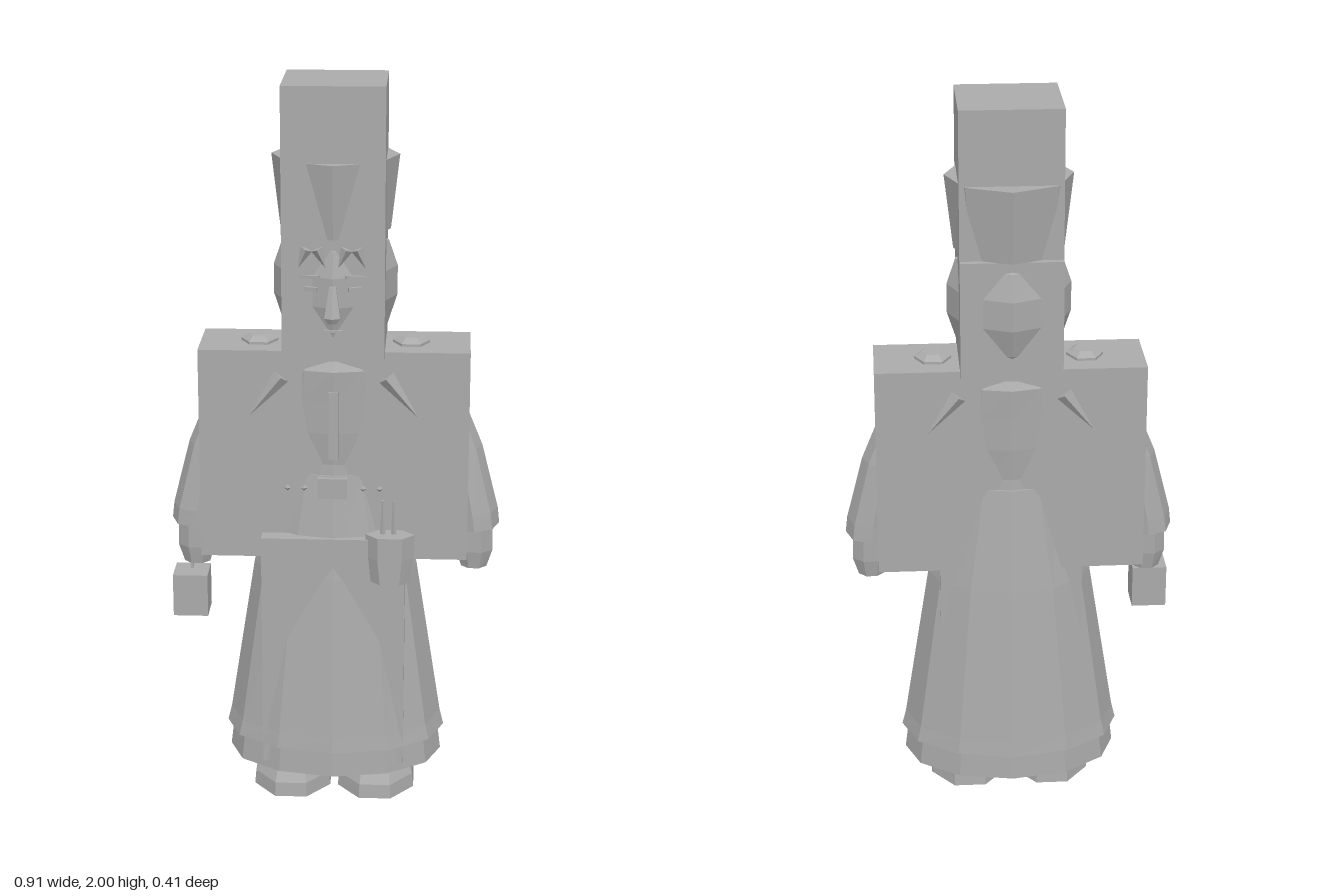
import * as THREE from 'three';

const grey = new THREE.MeshStandardMaterial({ color: 0xaaaaaa, flatShading: true, side: THREE.DoubleSide });
grey.name = 'plain grey';

export function createModel() {
  const model = new THREE.Group();
  model.name = 'robedFigure';

  function add(name, geometry, x = 0, y = 0, z = 0, parent = model) {
    const mesh = new THREE.Mesh(geometry, grey);
    mesh.name = name;
    mesh.position.set(x, y, z);
    parent.add(mesh);
    return mesh;
  }
  // box from its minimum and maximum corners
  function block(name, [x0, y0, z0], [x1, y1, z1], parent = model) {
    return add(name, new THREE.BoxGeometry(x1 - x0, y1 - y0, z1 - z0),
      (x0 + x1) / 2, (y0 + y1) / 2, (z0 + z1) / 2, parent);
  }
  // faceted solid from elliptical rings [y, halfX, halfZ, centreX, centreZ], bottom to top
  function rings(name, list, sides, parent = model, turn = 0) {
    const pos = [], index = [];
    const all = [[list[0][0], 0, 0, list[0][3], list[0][4]], ...list];
    const last = list[list.length - 1];
    all.push([last[0], 0, 0, last[3], last[4]]);
    all.forEach(([y, a, b, cx = 0, cz = 0], r) => {
      for (let i = 0; i < sides; i++) {
        const t = ((i + turn) / sides) * Math.PI * 2;
        pos.push(cx + a * Math.sin(t), y, cz + b * Math.cos(t));
        if (r === 0) continue;
        const j = (i + 1) % sides, p = (r - 1) * sides, q = r * sides;
        index.push(p + i, p + j, q + j, p + i, q + j, q + i);
      }
    });
    const g = new THREE.BufferGeometry();
    g.setAttribute('position', new THREE.Float32BufferAttribute(pos, 3));
    g.setIndex(index);
    g.computeVertexNormals();
    return add(name, g, 0, 0, 0, parent);
  }

  // tall square hat with a flared eight-sided band breaking through it
  block('hat', [-0.136, 1.58, -0.12], [0.136, 2, 0.136]);
  rings('hatBand', [[1.6, 0.147, 0.147, 0, -0.005], [1.8, 0.17, 0.17, 0, -0.005]], 8);

  // square head with the rounded head showing on each side
  block('headBlock', [-0.136, 1.27, -0.137], [0.136, 1.6, 0.136]);
  rings('head', [
    [1.28, 0.08, 0.08, 0, -0.003], [1.34, 0.14, 0.14, 0, -0.003], [1.42, 0.166, 0.163, 0, -0.005],
    [1.5, 0.166, 0.163, 0, -0.005], [1.57, 0.142, 0.142, 0, -0.003], [1.6, 0.08, 0.08, 0, 0],
  ], 8);
  rings('nose', [[1.385, 0.014, 0.012, 0, 0.172], [1.4, 0.024, 0.02, 0, 0.172],
    [1.48, 0.01, 0.008, 0, 0.158]], 6);

  // fringe tips
  [-0.08, -0.03, 0.025, 0.075].forEach((x, i) => {
    const tip = add('fringeTip', new THREE.ConeGeometry(0.017, 0.055, 4), x, 1.552, 0.145);
    tip.rotation.z = Math.PI + (i % 2 ? 0.4 : -0.4);
  });

  // brows, eyes and mouth
  for (const s of [-1, 1]) {
    const brow = add('brow', new THREE.BoxGeometry(0.055, 0.008, 0.009), s * 0.06, 1.503, 0.146);
    brow.rotation.set(0, s * 0.38, -s * 0.1);
    const eye = add('eye', new THREE.BoxGeometry(0.035, 0.012, 0.009), s * 0.058, 1.47, 0.146);
    eye.rotation.y = s * 0.38;
  }
  block('mouth', [-0.025, 1.352, 0.137], [0.025, 1.358, 0.146]);

  // square coat with the waisted torso inside it
  block('coat', [-0.364, 0.7, -0.105], [0.364, 1.288, 0.104]);
  rings('torso', [
    [0.9, 0.15, 0.115], [0.97, 0.14, 0.11], [1.06, 0.16, 0.118],
    [1.15, 0.17, 0.12], [1.235, 0.155, 0.124], [1.27, 0.11, 0.1],
  ], 12);
  block('placket', [-0.013, 0.99, 0.1], [0.013, 1.18, 0.126]);
  block('buckle', [-0.043, 0.88, 0.1], [0.037, 0.937, 0.13]);
  for (const x of [-0.125, -0.08, 0.08, 0.125])
    add('beltStud', new THREE.OctahedronGeometry(0.009), x, 0.905, 0.112);

  // skirt over a second hem, and the square front panel
  rings('skirt', [
    [0.155, 0.308, 0.207], [0.2, 0.297, 0.202], [0.65, 0.226, 0.155], [0.94, 0.15, 0.118],
  ], 12);
  rings('underskirt', [[0.08, 0.3, 0.2], [0.2, 0.285, 0.193]], 12);
  block('frontPanel', [-0.196, 0.1, -0.1], [0.196, 0.77, 0.15]);

  // pouch with two small tools
  rings('pouch', [[0.65, 0.052, 0.032, 0.155, 0.15], [0.72, 0.066, 0.04, 0.155, 0.143],
    [0.785, 0.066, 0.04, 0.155, 0.143]], 6, model, 0.5);
  for (const x of [0.135, 0.165])
    add('tool', new THREE.CylinderGeometry(0.004, 0.008, 0.1, 5), x, 0.83, 0.135);

  // parts repeated on both sides
  for (const s of [-1, 1]) {
    const side = new THREE.Group();
    side.name = s > 0 ? 'leftSide' : 'rightSide';
    model.add(side);

    rings('shoulderKnob', [[1.27, 0.05, 0.055, s * 0.205, 0], [1.295, 0.05, 0.055, s * 0.205, 0],
      [1.308, 0.031, 0.033, s * 0.205, 0]], 6, side, 0.5);
    rings('sleeve', [[0.775, 0.07, 0.083, s * 0.383, 0.005], [0.82, 0.07, 0.08, s * 0.378, 0.005],
      [1.0, 0.06, 0.066, s * 0.342, 0], [1.2, 0.05, 0.05, s * 0.27, 0]], 8, side);
    rings('hand', [[0.65, 0.038, 0.038, s * 0.385, 0.005], [0.7, 0.055, 0.048, s * 0.385, 0.005],
      [0.78, 0.055, 0.05, s * 0.383, 0.005]], 8, side, 0.5);
    rings('foot', [[0, 0.116, 0.146, s * 0.118, 0.035], [0.04, 0.112, 0.142, s * 0.118, 0.035],
      [0.1, 0.09, 0.11, s * 0.118, 0.025]], 8, side, 0.5);

    // pointed lapels, front and back
    for (const f of [-1, 1]) {
      const lapel = add('lapel', new THREE.ConeGeometry(0.035, 0.21, 4), s * 0.205, 1.135, f * 0.095, side);
      lapel.scale.z = 0.8;
      lapel.rotation.z = Math.PI + s * 0.66;
    }
  }

  // square lantern hanging from the right hand
  block('lantern', [-0.446, 0.515, 0], [-0.35, 0.635, 0.096]);
  block('lanternHandle', [-0.402, 0.63, 0.03], [-0.394, 0.68, 0.04]);

  return model;
}
